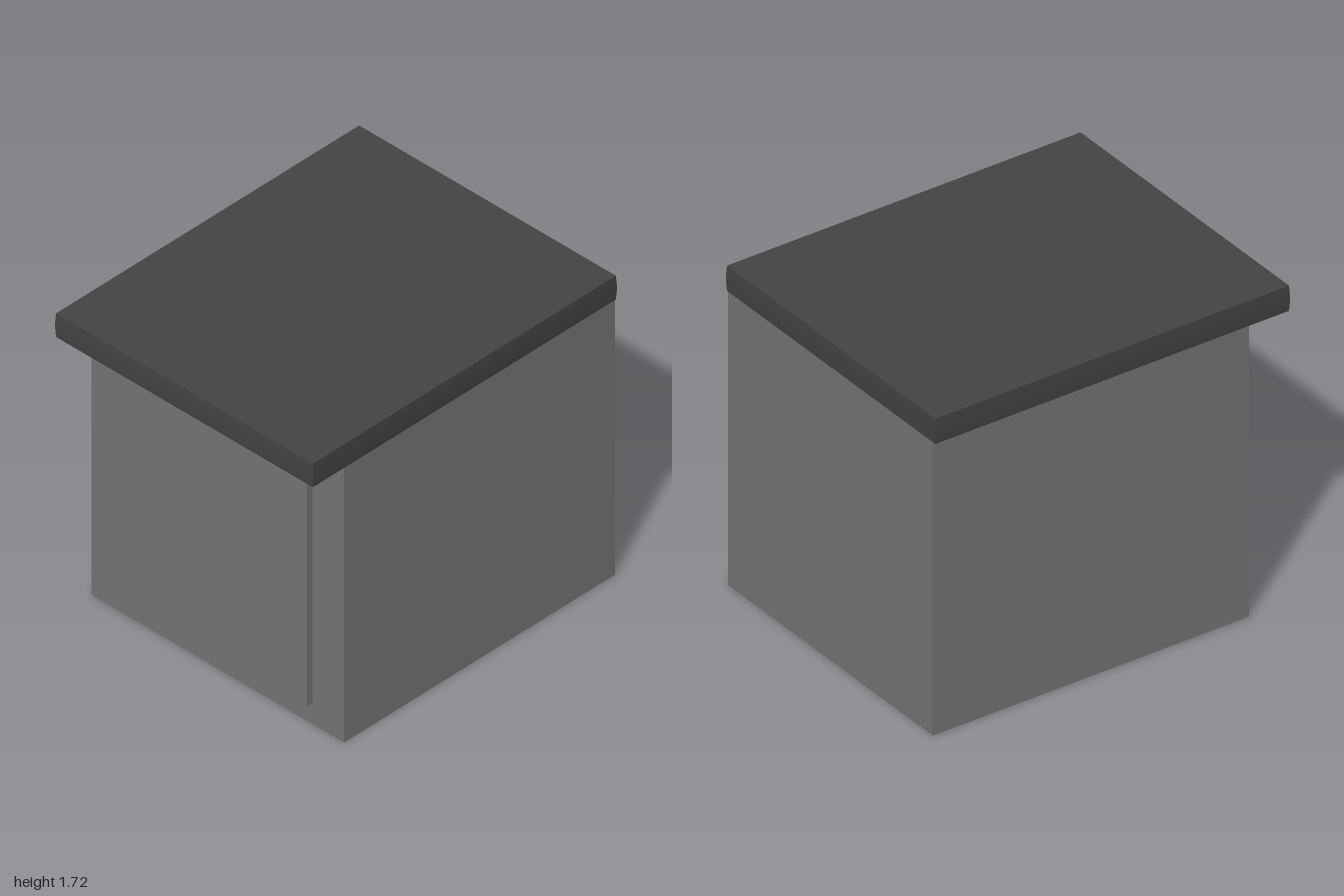
import * as THREE from 'three';

const wallGrey = new THREE.MeshStandardMaterial({ color: 0x767676 });
wallGrey.name = 'wall grey';
const roofCharcoal = new THREE.MeshStandardMaterial({ color: 0x444444 });
roofCharcoal.name = 'roof charcoal';

// Box given by its lower and upper corners
function block(name, material, min, max, heightSegments = 1) {
  const size = max.map((v, i) => v - min[i]);
  const geometry = new THREE.BoxGeometry(...size, 1, heightSegments, 1);
  const mesh = new THREE.Mesh(geometry, material);
  mesh.name = name;
  mesh.position.set(...max.map((v, i) => (v + min[i]) / 2));
  return mesh;
}

export function createModel() {
  const group = new THREE.Group();
  group.name = 'shed';

  // Main body and the raised panel on its front
  group.add(block('body', wallGrey, [-0.8, 0, -0.995], [0.813, 1.585, 0.785]));
  group.add(block('frontPanel', wallGrey, [-0.604, 0.12, 0.78], [0.613, 1.517, 0.822]));

  // Overhanging roof slab, with a faint ridge halfway up its edge
  const roof = block('roof', roofCharcoal, [-0.821, 1.582, -0.996], [0.819, 1.718, 0.996], 2);
  const p = roof.geometry.attributes.position;
  for (let i = 0; i < p.count; i++) {
    if (Math.abs(p.getY(i)) > 0.01) continue;
    p.setX(i, p.getX(i) + Math.sign(p.getX(i)) * 0.004);
    p.setZ(i, p.getZ(i) + Math.sign(p.getZ(i)) * 0.004);
  }
  roof.geometry.computeVertexNormals();
  group.add(roof);

  return group;
}
